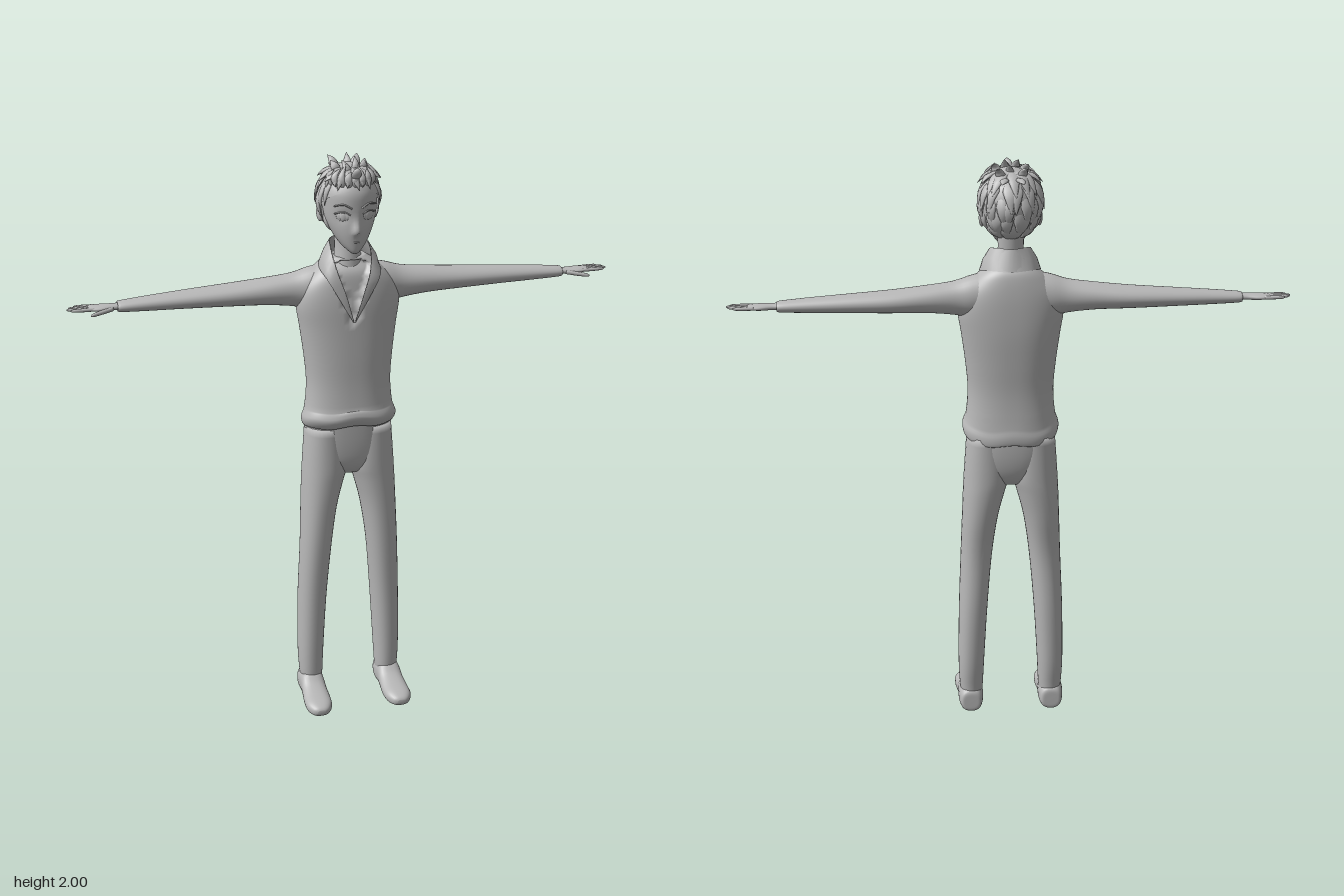
import * as THREE from 'three';

const grey = new THREE.MeshStandardMaterial({ color: 0xb8b8b8, side: THREE.DoubleSide });
grey.name = 'plain grey';
const V = (x, y, z) => new THREE.Vector3(x, y, z);

// Closed skin over a list of rings of points
function skin(rings, caps = true) {
  const n = rings[0].length, pos = [], idx = [];
  rings.forEach(r => r.forEach(p => pos.push(p.x, p.y, p.z)));
  for (let i = 0; i < rings.length - 1; i++) for (let j = 0; j < n; j++) {
    const a = i * n + j, b = i * n + (j + 1) % n;
    idx.push(a, a + n, b, b, a + n, b + n);
  }
  if (caps) [0, rings.length - 1].forEach((i, end) => {
    const c = pos.length / 3, m = V(0, 0, 0);
    rings[i].forEach(p => m.addScaledVector(p, 1 / n));
    pos.push(m.x, m.y, m.z);
    for (let j = 0; j < n; j++) {
      const a = i * n + j, b = i * n + (j + 1) % n;
      idx.push(...(end ? [c, b, a] : [c, a, b]));
    }
  });
  const g = new THREE.BufferGeometry();
  g.setAttribute('position', new THREE.Float32BufferAttribute(pos, 3));
  g.setIndex(idx);
  g.computeVertexNormals();
  return g;
}

// Cubic blend through rows of numbers
function smooth(rows, steps) {
  const out = [], last = rows.length - 1;
  for (let i = 0; i < last; i++) for (let s = 0; s < steps; s++) {
    const t = s / steps, a = rows[Math.max(i - 1, 0)], b = rows[i], c = rows[i + 1], d = rows[Math.min(i + 2, last)];
    out.push(b.map((p, k) => {
      const cubic = 3 * (p - c[k]) + d[k] - a[k];
      const square = 2 * a[k] - 5 * p + 4 * c[k] - d[k];
      return p + 0.5 * t * (c[k] - a[k] + t * (square + t * cubic));
    }));
  }
  out.push(rows[last]);
  return out;
}

// Loft along an axis; row = [position, uMin, uMax, vMin, vMax], positions increasing
const place = {
  y: (p, u, v) => V(u, p, v),
  x: (p, u, v) => V(p, v, u),
  z: (p, u, v) => V(v, u, p),
};
function loft(axis, rows, seg = 32, power = 1, rule = null) {
  const bend = c => Math.sign(c) * Math.abs(c) ** power;
  return skin(smooth(rows, 4).map(([p, u0, u1, v0, v1]) => Array.from({ length: seg }, (_, j) => {
    const t = j / seg * Math.PI * 2;
    const u = (u0 + u1) / 2 + (u1 - u0) / 2 * bend(Math.cos(t));
    const v = (v0 + v1) / 2 + (v1 - v0) / 2 * bend(Math.sin(t));
    const q = place[axis](p, u, v);
    if (rule) rule(q);
    return q;
  })));
}

function mirrored(geo) {
  const g = geo.clone(), ix = g.index.array;
  g.scale(-1, 1, 1);
  for (let i = 0; i < ix.length; i += 3) [ix[i], ix[i + 1]] = [ix[i + 1], ix[i]];
  g.computeVertexNormals();
  return g;
}

// Flattened tapering lock along a curve, its flat side facing away from the skull centre
const skull = V(0, 1.86, -0.03);
function lock(points, w, thick) {
  const curve = new THREE.CatmullRomCurve3(points), rings = [];
  const S = curve.getTangent(0.5).cross(curve.getPoint(0.5).sub(skull)).normalize();
  for (let i = 0; i <= 7; i++) {
    const t = i / 7, p = curve.getPoint(t), N = S.clone().cross(curve.getTangent(t)).normalize();
    const k = Math.max(0.02, Math.min(1, 0.5 + t * 2) * (1 - t ** 2.2));
    rings.push(Array.from({ length: 8 }, (_, j) => {
      const a = j / 8 * Math.PI * 2;
      return p.clone().addScaledVector(S, Math.cos(a) * w * k).addScaledVector(N, Math.sin(a) * thick * k);
    }));
  }
  return skin(rings);
}
// Point over the skull: azimuth from the front, elevation, distance factor
function over(az, el, k) {
  const a = az * Math.PI / 180, e = el * Math.PI / 180;
  return V(Math.sin(a) * Math.cos(e) * 0.1 * k, 1.86 + Math.sin(e) * 0.115 * k, -0.03 + Math.cos(a) * Math.cos(e) * 0.11 * k);
}

export function createModel() {
  const model = new THREE.Group();
  const add = (name, geo, parent = model) => {
    const m = new THREE.Mesh(geo, grey);
    m.name = name;
    parent.add(m);
  };
  const pair = (name, geo, parent) => {
    add('left' + name, geo, parent);
    add('right' + name, mirrored(geo), parent);
  };

  // Jacket body with a recessed neck opening and a hem that dips at the back
  add('jacketBody', loft('y', [
    [1.06, -.145, .145, -.13, .045], [1.062, -.158, .158, -.14, .06], [1.09, -.165, .165, -.142, .076], [1.13, -.153, .153, -.134, .066],
    [1.22, -.146, .146, -.13, .058], [1.32, -.154, .154, -.135, .055], [1.42, -.167, .167, -.14, .052], [1.5, -.178, .178, -.14, .05],
    [1.56, -.165, .165, -.137, .045], [1.61, -.125, .125, -.13, .036], [1.64, -.09, .09, -.12, .012], [1.66, -.06, .06, -.1, -.01],
  ], 72, 0.85, q => {
    if (q.y > 1.45 && q.z > 0 && Math.abs(q.x) < (q.y - 1.45) * 0.36) q.z -= 0.022;
    if (q.y < 1.13) q.y += (q.z + 0.02) * 0.18 + Math.cos(q.x * 38) * 0.004;
  }));

  // Open standing collar running down into the neckline
  const half = rows => rows.concat(rows.slice(0, -1).reverse().map(([x, y, z]) => [-x, y, z])).map(p => V(...p));
  const foot = new THREE.CatmullRomCurve3(half([[.004, 1.45, .05], [.055, 1.54, .053], [.092, 1.605, .04], [.103, 1.63, -.03], [.075, 1.645, -.095], [0, 1.645, -.122]]));
  const rim = new THREE.CatmullRomCurve3(half([[.001, 1.45, .053], [.03, 1.545, .06], [.06, 1.63, .045], [.07, 1.695, -.005], [.056, 1.715, -.065], [0, 1.717, -.098]]));
  add('collar', skin(Array.from({ length: 49 }, (_, i) => {
    const a = foot.getPoint(i / 48), b = rim.getPoint(i / 48);
    const mid = a.clone().lerp(b, 0.55).add(V(a.x * 0.06, 0, 0.003));
    return [a, mid, b, b.clone().multiply(V(.93, 1, 1)), a.clone().multiply(V(.93, 1, 1))];
  }), false));

  // Sleeves
  pair('Sleeve', loft('x', [
    [.06, -.115, .01, 1.49, 1.635], [.13, -.118, .003, 1.478, 1.622], [.19, -.115, -.008, 1.49, 1.604], [.28, -.12, -.013, 1.5, 1.592],
    [.4, -.125, -.02, 1.504, 1.58], [.55, -.118, -.03, 1.508, 1.569], [.68, -.108, -.038, 1.511, 1.559], [.765, -.101, -.044, 1.514, 1.551], [.775, -.095, -.05, 1.518, 1.547],
  ], 32));

  // Hands: palm, four fingers and a thumb
  const hands = new THREE.Group();
  hands.name = 'hands';
  model.add(hands);
  pair('Palm', loft('x', [[.75, -.092, -.054, 1.522, 1.545], [.79, -.09, -.052, 1.522, 1.544], [.83, -.1, -.045, 1.522, 1.543],
    [.86, -.1, -.05, 1.525, 1.541], [.872, -.096, -.055, 1.529, 1.538]], 20), hands);
  const digit = (from, to, r) => loft('x', [[0, 1], [.5, 1], [.88, .8], [1, .25]].map(([t, k]) => {
    const p = from.clone().lerp(to, t);
    return [p.x, p.z - r * k, p.z + r * k, p.y - r * k, p.y + r * k];
  }), 10);
  [.918, .936, .942, .93].forEach((tip, i) =>
    pair('Finger' + (i + 1), digit(V(.85, 1.533, -.094 + i * .0125), V(tip, 1.534, -.098 + i * .0145), .0062), hands));
  pair('Thumb', digit(V(.79, 1.531, -.056), V(.868, 1.52, -.031), .0075), hands);

  // Trousers: hips and two legs
  add('hips', loft('y', [[.875, -.035, .035, -.07, -.01], [.89, -.07, .07, -.1, .015], [.93, -.12, .12, -.122, .036],
    [1, -.15, .15, -.133, .044], [1.1, -.152, .152, -.133, .046]], 40, 0.85));
  pair('Leg', loft('y', [[.07, .103, .178, -.085, .008], [.1, .1, .183, -.088, .012], [.2, .095, .187, -.1, .016], [.4, .083, .184, -.106, .022],
    [.6, .066, .176, -.102, .034], [.75, .045, .17, -.118, .039], [.85, .02, .166, -.126, .041], [.92, .003, .162, -.128, .042], [1.06, .01, .152, -.128, .04]], 32, 0.92));

  // Shoes
  pair('Shoe', loft('z', [[-.092, .025, .06, .125, .165], [-.087, .006, .085, .108, .18], [-.05, 0, .1, .1, .188], [0, .004, .1, .101, .188],
    [.035, .005, .075, .1, .19], [.08, .001, .06, .098, .194], [.125, .002, .054, .102, .193], [.155, .008, .044, .118, .178], [.165, .02, .034, .135, .162]], 28, 0.8));

  // Neck and head with nose and eye hollows
  const head = new THREE.Group();
  head.name = 'head';
  model.add(head);
  add('neck', loft('y', [[1.6, -.06, .06, -.1, .005], [1.66, -.046, .046, -.088, -.003], [1.72, -.043, .043, -.09, -.012], [1.8, -.045, .045, -.095, -.01]], 24), head);
  const bump = (d, width) => Math.exp(-((d / width) ** 2));
  add('face', loft('y', [[1.692, -.01, .01, .042, .062], [1.702, -.024, .024, .0, .07], [1.725, -.046, .046, -.045, .075], [1.76, -.067, .067, -.085, .079],
    [1.8, -.083, .083, -.11, .078], [1.85, -.091, .091, -.128, .08], [1.9, -.092, .092, -.13, .076], [1.945, -.072, .072, -.11, .045], [1.965, -.03, .03, -.07, .0]], 64, 0.95, q => {
    if (q.z < 0.02) return;
    const dy = q.y - 1.772;
    q.z += 0.02 * bump(q.x, .011) * bump(dy, dy > 0 ? .03 : .01);
    q.z -= 0.007 * bump(Math.abs(q.x) - .042, .022) * bump(q.y - 1.82, .018);
  }), head);

  // Eyes, brows, mouth and ears
  const patch = (x, y, z, rx, ry, rz, turn) =>
    new THREE.SphereGeometry(1, 20, 12).scale(rx, ry, rz).rotateY(turn).translate(x, y, z);
  const bar = (pts, r) => new THREE.TubeGeometry(new THREE.CatmullRomCurve3(pts), 12, r, 6);
  pair('Eye', patch(.043, 1.82, .061, .022, .015, .004, .5), head);
  pair('Iris', patch(.043, 1.82, .064, .01, .013, .003, .45), head);
  pair('UpperLid', bar([V(.02, 1.828, .074), V(.042, 1.838, .068), V(.068, 1.83, .051)], .0028), head);
  pair('Brow', bar([V(.016, 1.85, .08), V(.042, 1.863, .073), V(.07, 1.856, .054)], .003), head);
  add('mouth', patch(0, 1.735, .075, .012, .0028, .004, 0), head);
  pair('Ear', patch(.094, 1.812, -.04, .01, .03, .019, -.35), head);

  // Hair: cap, layered back locks, side locks and swept-up front spikes
  const hair = new THREE.Group();
  hair.name = 'hair';
  head.add(hair);
  add('hairCap', new THREE.SphereGeometry(1, 36, 18, 0, Math.PI * 2, 0, 1.75).rotateX(-0.6).scale(.103, .116, .114).translate(0, 1.86, -.03), hair);
  for (let row = 0; row < 5; row++) {
    const count = 7 + row, el = 68 - row * 24, low = Math.max(el - 52, -72);
    for (let i = 0; i < count; i++) {
      const az = 82 + 196 * (i + 0.5) / count, sway = 7 * Math.sin(i * 2.3 + row);
      const path = [over(az, el, .98), over(az + sway, (el + low) / 2, 1.07), over(az + sway * 1.5, low, row < 2 ? 1.14 : 1.08)];
      add('backLock', lock(path, .022, .008), hair);
    }
  }
  for (const s of [-1, 1]) {
    [[62, 30, -6], [78, 20, -22], [92, 8, -30]].forEach(([az, a, b]) =>
      add('sideLock', lock([over(s * az, a + 18, 1), over(s * az, (a + b) / 2 + 6, 1.05), over(s * (az + 3), b, 1.04)], .014, .007), hair));
    [[58, 30, 1.25], [80, 26, 1.22], [105, 30, 1.2]].forEach(([az, el, k]) =>
      add('sideSpike', lock([over(s * (az - 8), 58, 1), over(s * az, 44, 1.12), over(s * (az + 4), el, k)], .02, .008), hair));
  }
  for (let i = 0; i < 9; i++) {
    const az = -64 + i * 16;
    add('frontLock', lock([over(az * .8, 66, 1), over(az, 42, 1.12), over(az + 6 * Math.sin(i * 2), 22 + 5 * (i % 2), 1.08)], .017, .009), hair);
    add('frontSpike', lock([over(az * .9, 30, .99), over(az, 42, 1.15), over(az * .9 + 5, 52 + 6 * (i % 3), 1.22 - .05 * (i % 2))], .015, .009), hair);
  }
  const topSpikes = [[-.012, .02, -.03, 1.994, .0], [.015, .0, .018, 2, -.02], [.04, -.02, .055, 1.988, -.03], [-.04, -.02, -.06, 1.985, -.04],
    [0, -.06, .008, 1.996, -.09], [.03, -.08, .05, 1.985, -.115], [-.03, -.08, -.05, 1.985, -.115], [0, .055, .004, 1.985, .078]];
  for (const [x, z, tx, ty, tz] of topSpikes) {
    const path = [V(x, 1.94, z), V((x + tx) / 2, 1.972, (z + tz) / 2 + .012), V(tx, ty, tz)];
    add('topSpike', lock(path, .018, .011), hair);
  }
  pair('CrownSpike', lock([V(.02, 1.95, -.1), V(.03, 1.95, -.14), V(.035, 1.945, -.162)], .016, .008), hair);

  return model;
}
